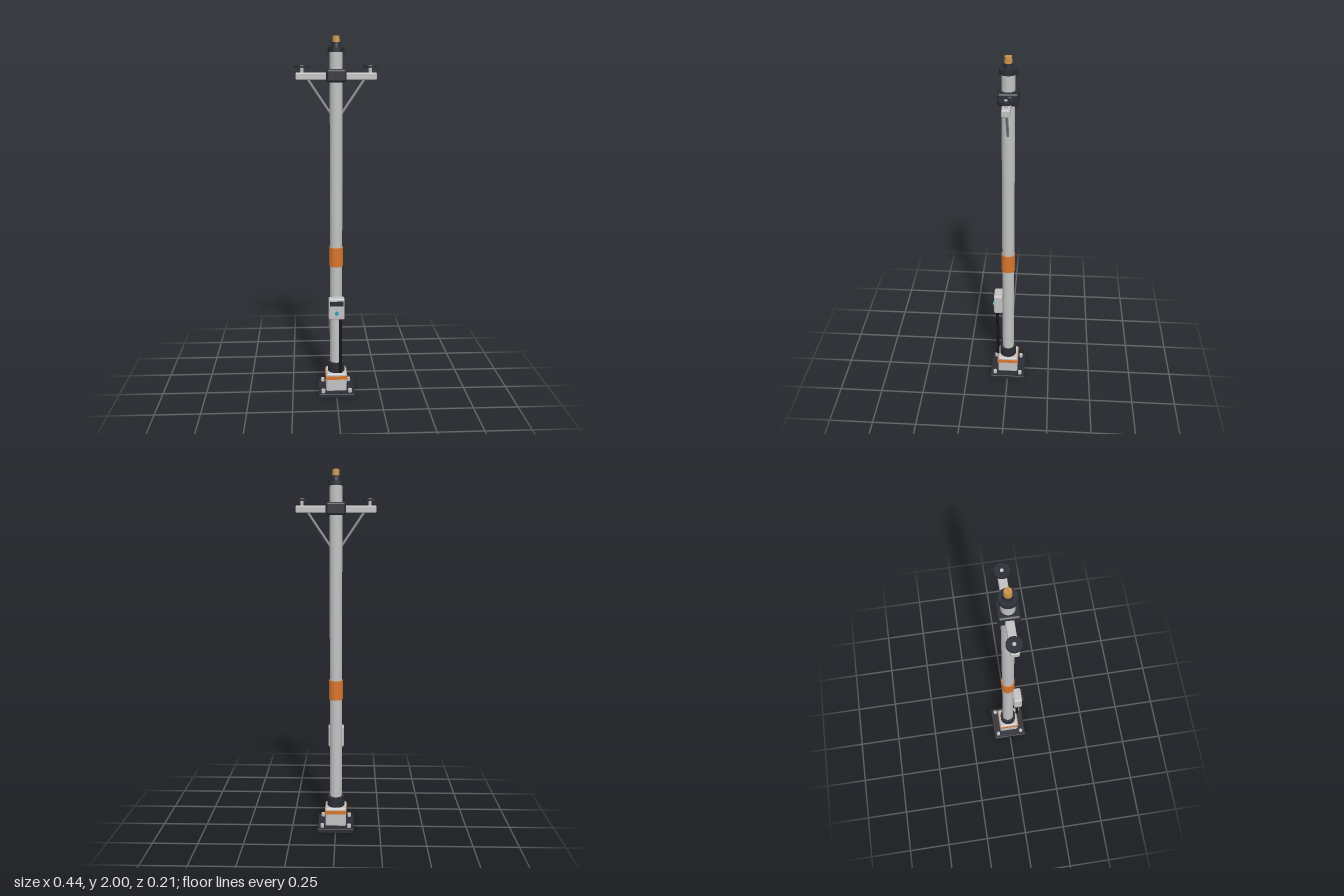
import * as THREE from 'three';
import { RoundedBoxGeometry } from 'three/addons/geometries/RoundedBoxGeometry.js';

const mat = (name, color) => {
  const m = new THREE.MeshStandardMaterial({ color });
  m.name = name;
  return m;
};

export function createModel() {
  const model = new THREE.Group();
  model.name = 'utilityPole';

  const steel = mat('paleSteel', 0xc2c2c2);
  const brace = mat('braceGrey', 0x8c8f94);
  const dark = mat('darkCharcoal', 0x2b2d35);
  const black = mat('cableBlack', 0x15161a);
  const orange = mat('orangeBand', 0xd8752c);
  const brass = mat('brass', 0xc8934a);
  const teal = mat('tealButton', 0x22a3b8);

  const add = (name, geometry, material, x = 0, y = 0, z = 0) => {
    const mesh = new THREE.Mesh(geometry, material);
    mesh.name = name;
    mesh.position.set(x, y, z);
    model.add(mesh);
    return mesh;
  };
  // Box and cylinder placed by their bottom and top heights
  const box = (name, m, w, d, y0, y1, r = 0.004, x = 0, z = 0) =>
    add(name, new RoundedBoxGeometry(w, y1 - y0, d, 2, r), m, x, (y0 + y1) / 2, z);
  const cyl = (name, m, r0, r1, y0, y1, sides = 24, x = 0, z = 0) =>
    add(name, new THREE.CylinderGeometry(r1, r0, y1 - y0, sides), m, x, (y0 + y1) / 2, z);

  // Footing
  box('basePlate', dark, 0.206, 0.206, 0, 0.025);
  box('baseBlock', steel, 0.118, 0.118, 0.02, 0.13, 0.01);
  add('baseStripe', new THREE.BoxGeometry(0.124, 0.02, 0.124), orange, 0, 0.105, 0);
  for (const x of [-0.076, 0.076]) {
    for (const z of [-0.076, 0.076]) cyl('anchorBolt', steel, 0.011, 0.011, 0.02, 0.044, 12, x, z);
  }

  // Shaft with collar and marker band
  cyl('collar', dark, 0.048, 0.048, 0.13, 0.187);
  cyl('shaft', steel, 0.034, 0.034, 0.12, 1.93);
  cyl('markerBand', orange, 0.039, 0.039, 0.757, 0.865);

  // Top cap and brass tip
  cyl('capFlange', dark, 0.045, 0.045, 1.916, 1.942);
  cyl('capNeck', dark, 0.026, 0.023, 1.942, 1.967);
  cyl('brassTip', brass, 0.02, 0.018, 1.967, 2.0);

  // Cross arm held by a clamp
  box('crossArm', steel, 0.428, 0.042, 1.774, 1.813, 0.007);
  box('armClamp', dark, 0.106, 0.106, 1.763, 1.83, 0.012);

  const up = new THREE.Vector3(0, 1, 0);
  for (const s of [-1, 1]) {
    // Insulator: stem and disc
    cyl('insulatorStem', steel, 0.009, 0.009, 1.81, 1.851, 12, s * 0.18);
    cyl('insulatorDisc', dark, 0.038, 0.038, 1.836, 1.848, 24, s * 0.18);
    // Diagonal strut from shaft to arm
    const a = new THREE.Vector3(s * 0.03, 1.6, 0);
    const dir = new THREE.Vector3(s * 0.15, 1.778, 0).sub(a);
    const strut = add('strut', new THREE.CylinderGeometry(0.007, 0.007, dir.length(), 10), brace);
    strut.position.copy(a).addScaledVector(dir, 0.5);
    strut.quaternion.setFromUnitVectors(up, dir.normalize());
  }

  // Control box with display, button and cable
  box('controlBox', steel, 0.088, 0.05, 0.464, 0.587, 0.009, 0, 0.057);
  add('display', new THREE.BoxGeometry(0.073, 0.024, 0.009), dark, 0, 0.56, 0.0865);
  const button = add('button', new THREE.CylinderGeometry(0.011, 0.011, 0.009, 16), teal, 0, 0.504, 0.0865);
  button.rotation.x = Math.PI / 2;
  cyl('cable', black, 0.009, 0.009, 0.14, 0.47, 12, 0.022, 0.062);

  return model;
}
